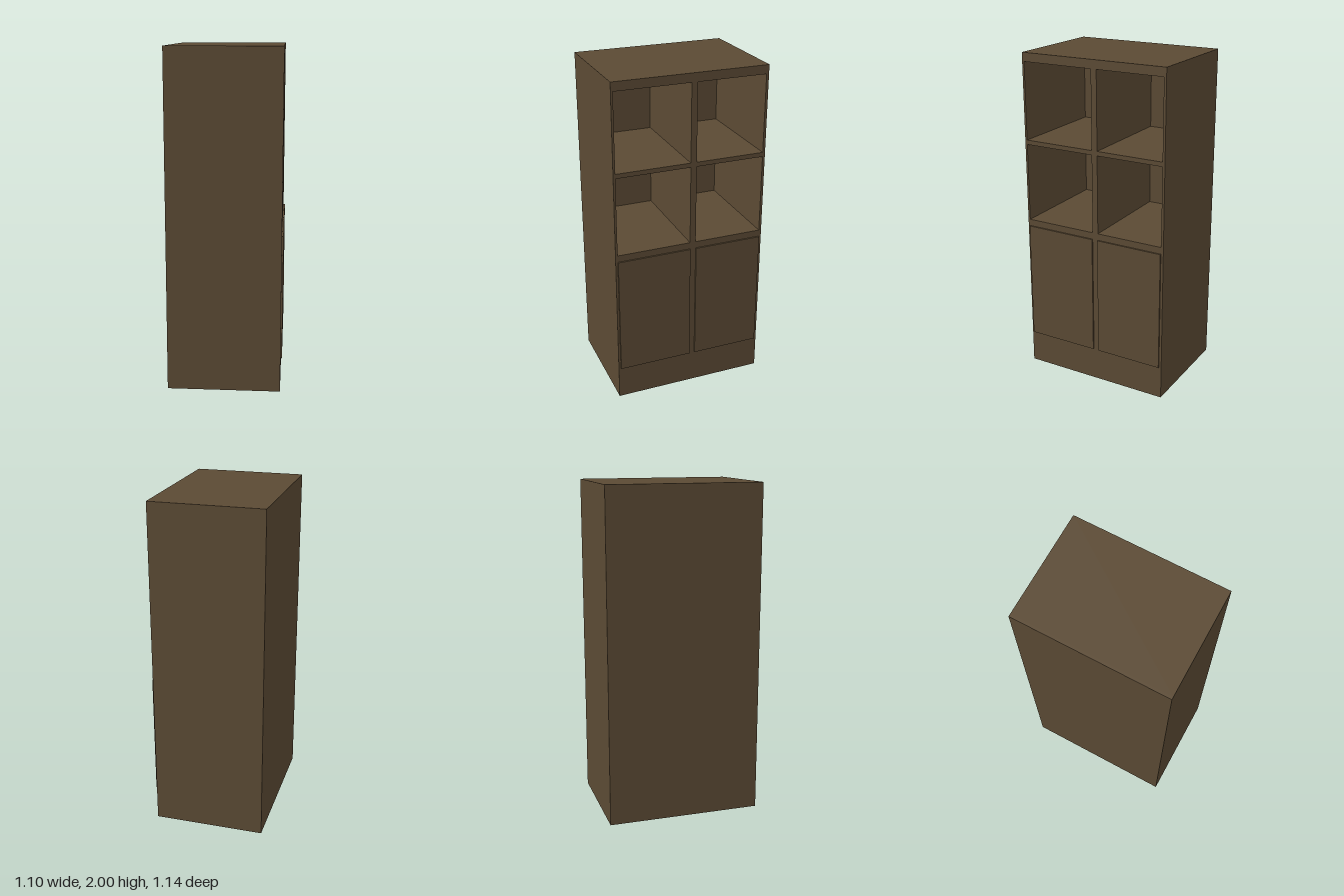
import * as THREE from 'three';

const W = 0.93, D = 0.665, H = 2, BACK = 0.015;
// column extents (left, right) and shelf extents (bottom, top)
const COLUMNS = [[-0.452, -0.003], [0.033, 0.45]];
const ROWS = [[0.978, 1.454], [1.481, 1.947]];
const DOOR = { y0: 0.204, y1: 0.937, out: 0.009 };

function rect(Type, x0, y0, x1, y1) {
  const r = new Type();
  r.moveTo(x0, y0);
  r.lineTo(x1, y0);
  r.lineTo(x1, y1);
  r.lineTo(x0, y1);
  r.closePath();
  return r;
}

export function createModel() {
  const wood = new THREE.MeshStandardMaterial({ color: 0x5b4a34 });
  const model = new THREE.Group();
  model.name = 'cabinet';
  const add = (name, geometry, x, y, z) => {
    const mesh = new THREE.Mesh(geometry, wood);
    mesh.name = name;
    mesh.position.set(x, y, z);
    model.add(mesh);
  };

  // Carcass with four open compartments
  const front = rect(THREE.Shape, -W / 2, 0, W / 2, H);
  for (const [x0, x1] of COLUMNS)
    for (const [y0, y1] of ROWS) front.holes.push(rect(THREE.Path, x0, y0, x1, y1));
  const carcass = new THREE.ExtrudeGeometry(front, { depth: D - BACK, bevelEnabled: false });
  add('carcass', carcass, 0, 0, -D / 2 + BACK);

  // Back panel closing the compartments
  add('backPanel', new THREE.BoxGeometry(W, H, BACK), 0, H / 2, -D / 2 + BACK / 2);

  // Two thin doors standing proud of the lower front
  COLUMNS.forEach(([x0, x1], i) => {
    const door = new THREE.BoxGeometry(x1 - x0, DOOR.y1 - DOOR.y0, DOOR.out * 2);
    add(i ? 'leftDoor' : 'rightDoor', door, (x0 + x1) / 2, (DOOR.y0 + DOOR.y1) / 2, D / 2);
  });

  // The cabinet stands turned towards its left
  model.rotation.y = 0.894;
  const group = new THREE.Group();
  group.add(model);
  return group;
}
